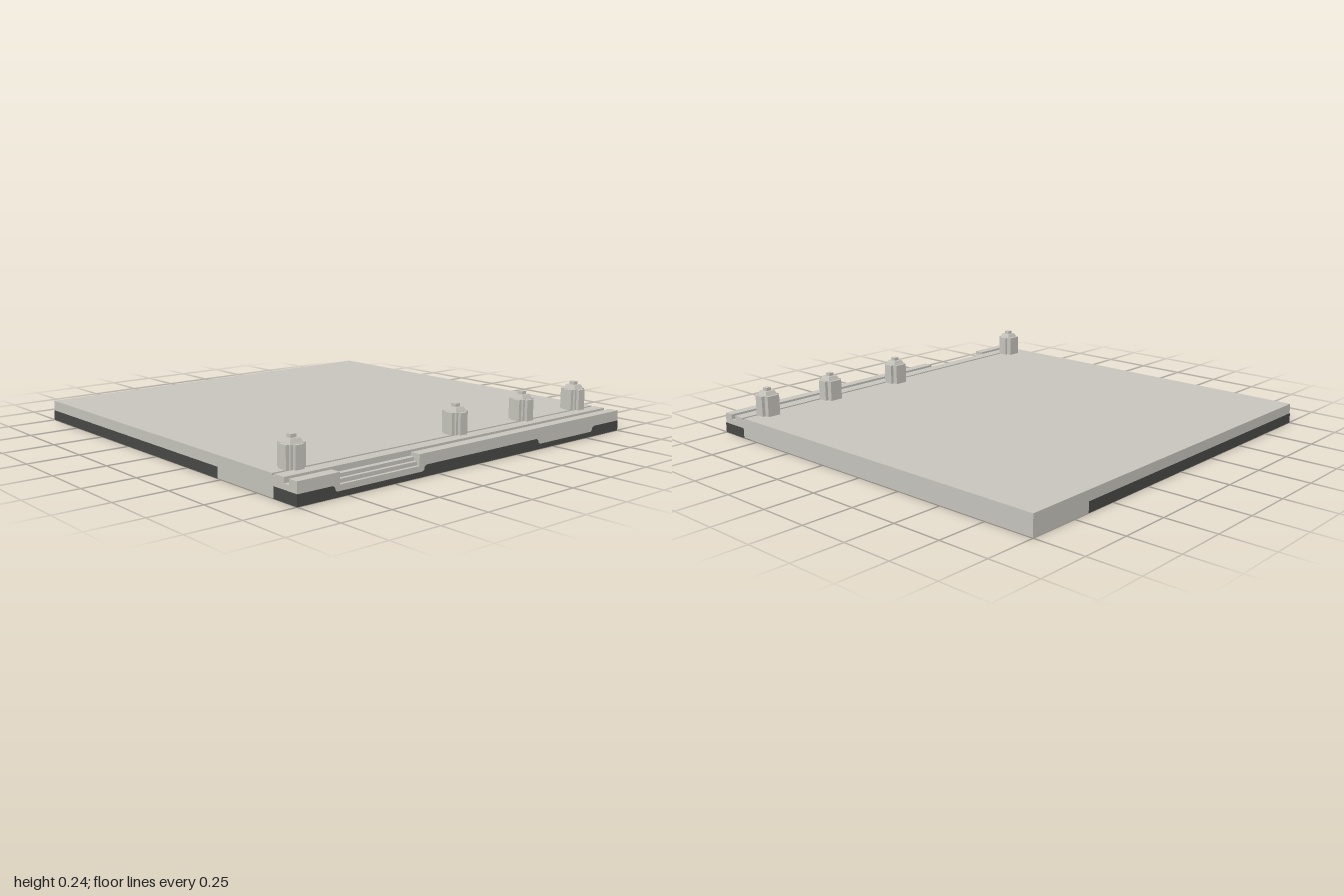
import * as THREE from 'three';

const grey = new THREE.MeshStandardMaterial({ color: 0xc8c6be });
grey.name = 'warm grey';
const dark = new THREE.MeshStandardMaterial({ color: 0x494946 });
dark.name = 'dark grey';

const E = 0.0015; // how far painted faces stand proud

function add(parent, name, geometry, material) {
  const mesh = new THREE.Mesh(geometry, material);
  mesh.name = name;
  parent.add(mesh);
  return mesh;
}

function box(parent, name, material, x0, x1, y0, y1, z0, z1) {
  const mesh = add(parent, name, new THREE.BoxGeometry(x1 - x0, y1 - y0, z1 - z0), material);
  mesh.position.set((x0 + x1) / 2, (y0 + y1) / 2, (z0 + z1) / 2);
  return mesh;
}

const toShape = (pts) => new THREE.Shape(pts.map(([x, y]) => new THREE.Vector2(x, y)));

// Slab section from x0 to x1, with two long grooves and an optional stepped front edge
function slabSection(parent, name, x0, x1, stepped) {
  const front = stepped
    ? [[1, 0.05], [0.985, 0.05], [0.985, 0.067], [0.968, 0.067], [0.968, 0.083], [0.95, 0.083]]
    : [[1, 0.1], [0.95, 0.1]];
  const profile = [
    [-1, E], [1, E], ...front,
    [0.95, 0.075], [0.92, 0.075], [0.92, 0.1],
    [0.86, 0.1], [0.86, 0.09], [0.845, 0.09], [0.845, 0.1], [-1, 0.1],
  ];
  const g = new THREE.ExtrudeGeometry(toShape(profile), { depth: x1 - x0, bevelEnabled: false });
  g.rotateY(-Math.PI / 2);
  g.translate(x1, 0, 0);
  add(parent, name, g, grey);
}

// Stepped post with a chamfered cap and a small tip
function post(x) {
  const g = new THREE.Group();
  g.name = 'post';
  box(g, 'postWings', grey, -0.05, 0.05, 0, 0.1, -0.022, 0.028);
  box(g, 'postBody', grey, -0.034, 0.034, 0, 0.101, -0.048, 0.038);
  box(g, 'postRib', grey, -0.022, 0.022, 0, 0.1, -0.04, 0.053);
  const cap = new THREE.CylinderGeometry(0.025 * Math.SQRT2, 0.034 * Math.SQRT2, 0.02, 4).toNonIndexed();
  cap.rotateY(Math.PI / 4);
  cap.computeVertexNormals();
  add(g, 'postCap', cap, grey).position.y = 0.111;
  box(g, 'postTip', grey, -0.014, 0.014, 0.12, 0.136, -0.014, 0.014);
  g.position.set(x, 0.1, 0.824);
  return g;
}

export function createModel() {
  const model = new THREE.Group();
  model.name = 'slabWithPosts';

  // Main slab, with the stepped notch between its two plain sections
  const slab = new THREE.Group();
  slab.name = 'slab';
  model.add(slab);
  slabSection(slab, 'slabRight', -1, -0.79, false);
  slabSection(slab, 'slabNotch', -0.79, -0.36, true);
  slabSection(slab, 'slabLeft', -0.36, 1, false);

  // Dark front band with a wavy upper edge
  const w = 1 + E;
  const wave = [
    [-w, 0], [w, 0], [w, 0.05], [0.815, 0.05], [0.8, 0.043], [0.795, 0.029], [0.785, 0.024],
    [0.41, 0.024], [0.4, 0.03], [0.395, 0.043], [0.385, 0.05], [-0.32, 0.05], [-0.33, 0.043],
    [-0.333, 0.029], [-0.345, 0.024], [-0.805, 0.024], [-0.813, 0.03], [-0.816, 0.043], [-0.827, 0.05], [-w, 0.05],
  ];
  const band = new THREE.ExtrudeGeometry(toShape(wave), { depth: 0.145 + E, bevelEnabled: false });
  band.translate(0, 0, 0.855);
  add(model, 'frontBand', band, dark);

  // Small chamfered patch beside the band, on the underside
  const patch = new THREE.ExtrudeGeometry(
    toShape([[0.87, -0.86], [1, -0.86], [1, -0.8], [0.95, -0.78], [0.88, -0.78], [0.87, -0.79]]),
    { depth: 0.004, bevelEnabled: false });
  patch.rotateX(-Math.PI / 2);
  add(model, 'cornerPatch', patch, dark);

  // Large dark pad under the back right of the slab
  box(model, 'basePad', dark, -w, 0.66, 0, 0.05, -w, 0.475);

  for (const x of [-0.888, 0.034, 0.484, 0.872]) model.add(post(x));
  return model;
}
